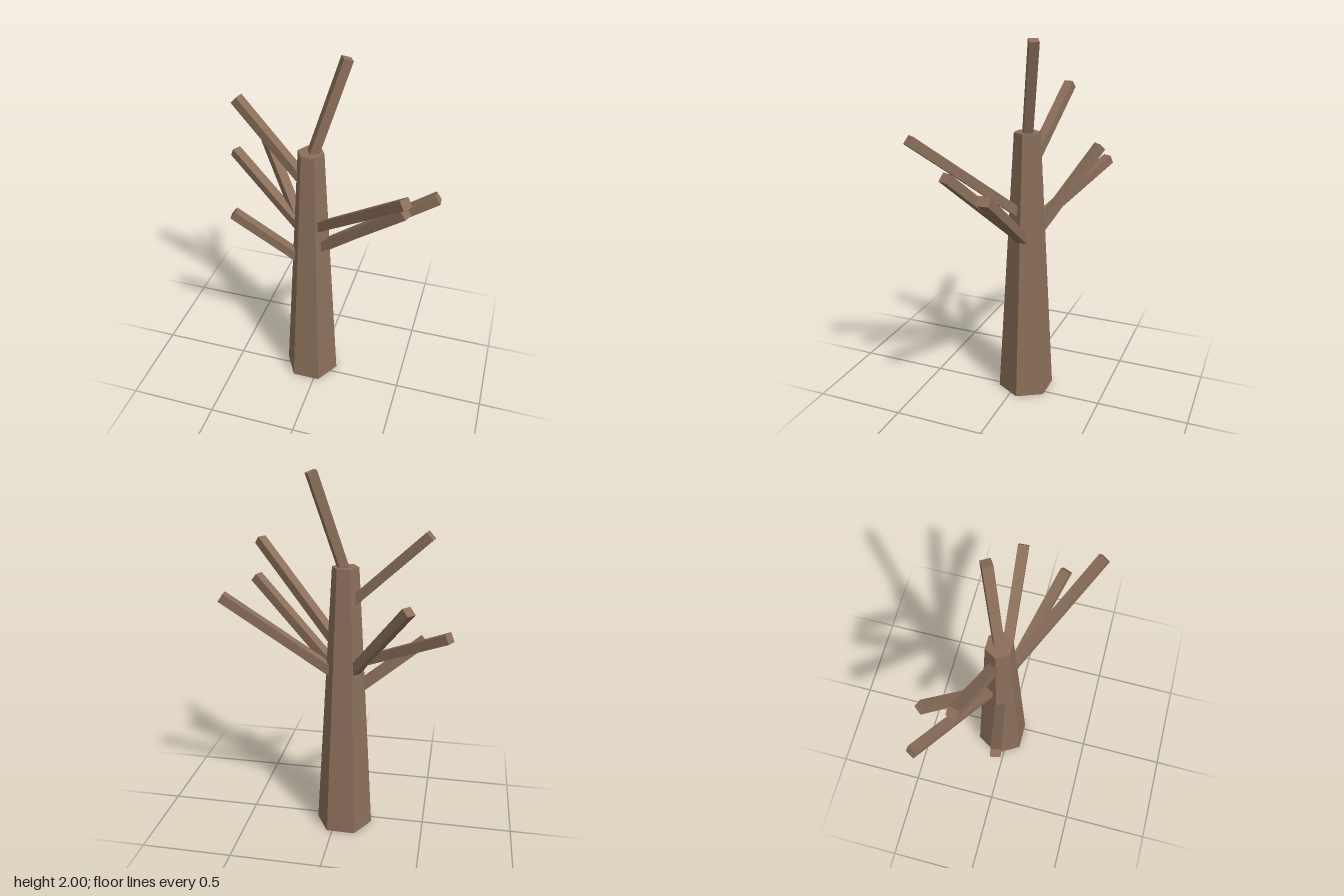
import * as THREE from 'three';

export function createModel() {
  const tree = new THREE.Group();
  tree.name = 'bareTree';
  const bark = new THREE.MeshStandardMaterial({ color: 0x8b6f5a, flatShading: true });
  const axisX = -0.05, axisZ = -0.045;

  // Six-sided tapering trunk with corners pointing along x
  const trunk = new THREE.Mesh(
    new THREE.CylinderGeometry(0.071, 0.157, 1.51, 6, 1, false, Math.PI / 6), bark);
  trunk.name = 'trunk';
  trunk.position.set(axisX, 0.755, axisZ);
  tree.add(trunk);

  // Straight square branch from the trunk axis at a given height to the tip
  function addBranch(name, startY, tip, width = 0.053, thickness = 0.05) {
    const start = new THREE.Vector3(axisX, startY, axisZ);
    const end = new THREE.Vector3(...tip);
    const branch = new THREE.Mesh(
      new THREE.BoxGeometry(width, thickness, start.distanceTo(end)), bark);
    branch.name = name;
    branch.position.copy(start).lerp(end, 0.5);
    branch.lookAt(end);
    tree.add(branch);
  }

  addBranch('topBranch', 1.47, [0.105, 1.99, -0.135], 0.05);

  // Branches on the left (+x) side
  addBranch('leftBackBranch', 0.886, [0.608, 1.33, -0.09], 0.057);
  addBranch('leftUpperBranch', 1.034, [0.51, 1.55, 0.338]);
  addBranch('leftMiddleBranch', 0.89, [0.488, 1.38, 0.165]);

  // Branches on the right (-x) side
  addBranch('rightUpperBranch', 1.29, [-0.48, 1.705, -0.135]);
  addBranch('rightBackBranch', 0.88, [-0.403, 1.383, -0.342]);
  addBranch('rightMiddleBranch', 0.968, [-0.6, 1.265, -0.344]);
  addBranch('rightLowerBranch', 0.783, [-0.465, 1.11, 0.04]);

  return tree;
}
